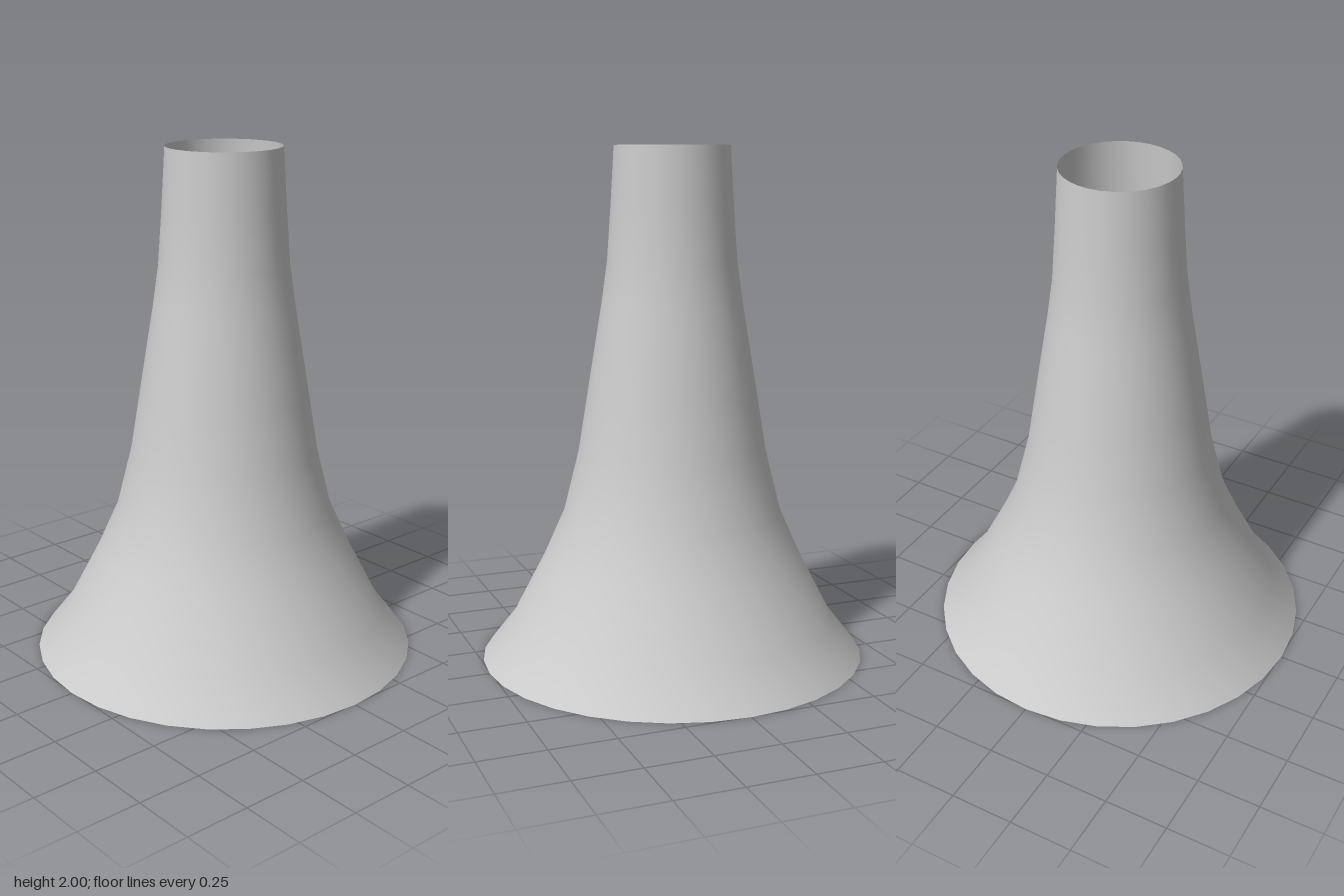
import * as THREE from 'three';

export function createModel() {
  const group = new THREE.Group();
  group.name = 'flaredTube';

  // Profile from the wide foot to the narrow mouth: [radius, height]
  const profile = [
    [0.756, 0], [0.638, 0.15], [0.508, 0.4], [0.428, 0.58], [0.368, 0.82],
    [0.331, 1.05], [0.275, 1.39], [0.251, 1.56], [0.236, 1.77], [0.222, 2],
  ].map(([r, y]) => new THREE.Vector2(r, y));

  // Thin shell, open at both ends
  const shell = new THREE.Mesh(
    new THREE.LatheGeometry(profile, 32),
    new THREE.MeshStandardMaterial({ color: 0xcccccc, side: THREE.DoubleSide })
  );
  shell.name = 'flaredShell';
  group.add(shell);
  return group;
}
